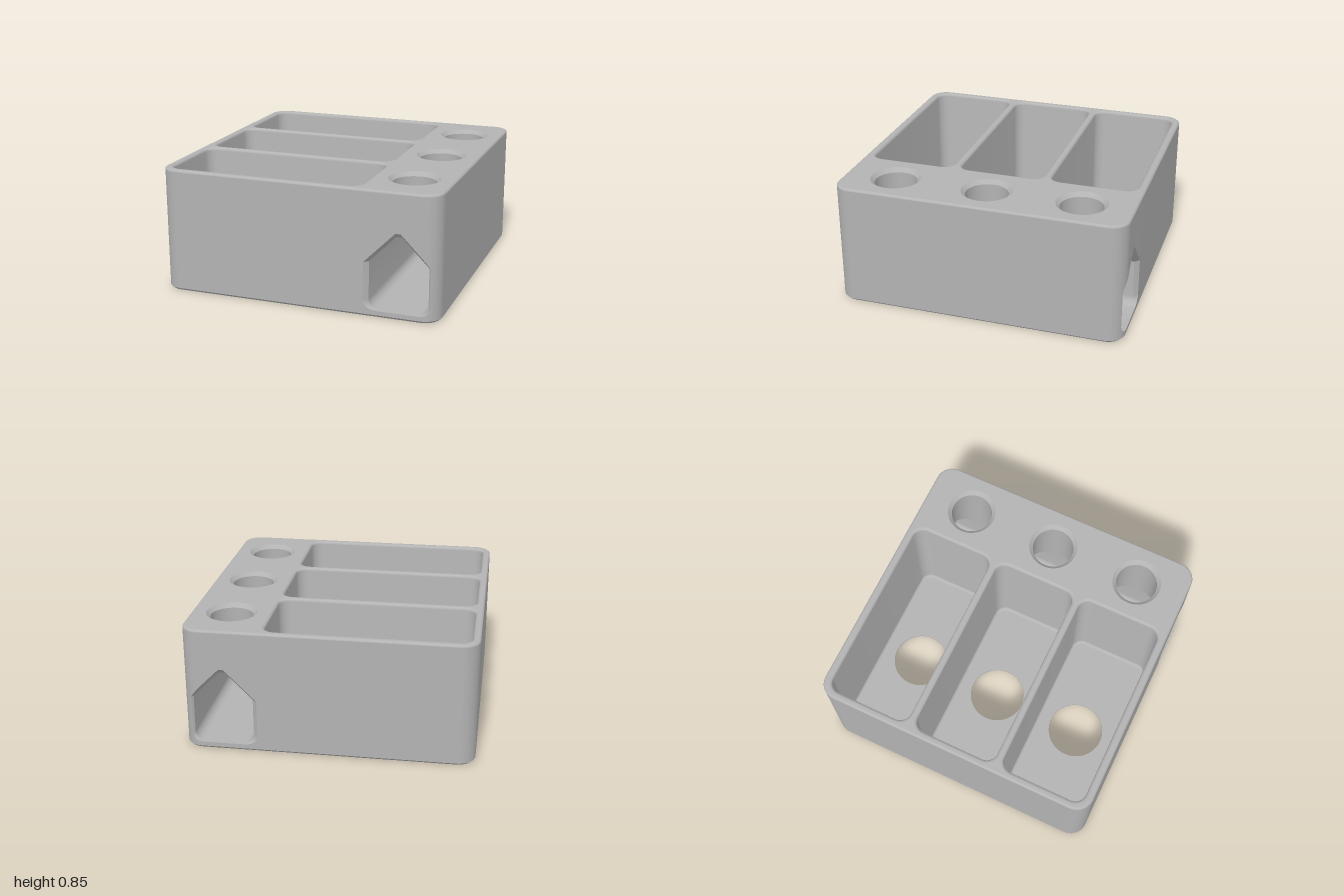
import * as THREE from 'three';
import { toCreasedNormals } from 'three/addons/utils/BufferGeometryUtils.js';

const W = 0.97, D = 1, H = 0.85, R = 0.12;        // half width, half depth, height, corner radius
const EDGE = 0.015, FLOOR = 0.045, CUT = 0.03;    // outer edge, floor thickness, tunnel chamfer
const BAYS = [-0.647, 0, 0.647];                  // z of each tray and finger hole
const TX = -0.245, BX = 0.7, BORE = 0.145;        // tray centre, bore centre and radius
const V = (x, y, z) => new THREE.Vector3(x, y, z);
const range = (n, f) => Array.from({ length: n }, (_, i) => f(i));

function geometryFrom(points) {
  return toCreasedNormals(new THREE.BufferGeometry().setFromPoints(points), 0.5);
}

// Skin between successive rings of points
function loft(rings, closed = true) {
  const out = [];
  for (let k = 0; k + 1 < rings.length; k++) {
    const p = rings[k], q = rings[k + 1], n = p.length;
    for (let i = 0; i < (closed ? n : n - 1); i++) {
      const j = (i + 1) % n;
      out.push(p[i], p[j], q[j], p[i], q[j], q[i]);
    }
  }
  return geometryFrom(out);
}

// Rounded rectangle lying flat, anticlockwise from above
function roundRect(cx, cz, hw, hd, r, y) {
  const pts = [];
  [[1, 1], [-1, 1], [-1, -1], [1, -1]].forEach(([sx, sz], c) => {
    for (let i = 0; i <= 10; i++) {
      const a = (c + i / 10) * Math.PI / 2;
      pts.push(V(cx + sx * (hw - r) + r * Math.cos(a), y, cz - sz * (hd - r) - r * Math.sin(a)));
    }
  });
  return pts;
}

const circle = (cx, cz, r, y) => range(64, i => {
  const a = i / 64 * Math.PI * 2, x = cx + r * Math.cos(a);
  return V(x, typeof y === 'function' ? y(x) : y, cz - r * Math.sin(a));
});

// Flat horizontal face with holes, facing up or down
function cap(outline, holes, y, up) {
  const flat = pts => pts.map(p => new THREE.Vector2(p.x, up ? -p.z : p.z));
  const shape = new THREE.Shape(flat(outline));
  holes.forEach(h => shape.holes.push(new THREE.Path(flat(h))));
  return new THREE.ShapeGeometry(shape).rotateX(up ? -Math.PI / 2 : Math.PI / 2).translate(0, y, 0);
}

const wallZ = x => D - R + Math.sqrt(Math.max(0, R * R - Math.max(0, Math.abs(x) - (W - R)) ** 2));
const roofY = x => 0.55 - Math.max(0, Math.abs(x - BX) - 0.018) * (0.183 / 0.182);

// House-shaped tunnel section: x, y and the direction its chamfer spreads
function tunnelSection() {
  const s = [[0.5, 0.367, -1, 0]];
  const arc = range(7, i => i / 6 * Math.PI / 2);
  arc.forEach(a => s.push([0.56 - 0.06 * Math.cos(a), 0.105 - 0.06 * Math.sin(a), -Math.cos(a), 0]));
  arc.slice().reverse().forEach(a => s.push([0.84 + 0.06 * Math.cos(a), 0.105 - 0.06 * Math.sin(a), Math.cos(a), 0]));
  for (let i = 0; i <= 8; i++) s.push([0.9 - 0.182 * i / 8, 0.367 + 0.183 * i / 8, 1 - i / 8, i / 8]);
  s.push([0.682, 0.55, 0, 1]);
  return s;
}

// Where the chamfer meets the outer wall, including its rounded corner
function mouthPoint([x, y, dx, dy]) {
  let lo = 0, hi = CUT;
  for (let i = 0; i < 24; i++) {
    const t = (lo + hi) / 2;
    if (D - wallZ(x + dx * (CUT - t)) > t) lo = t; else hi = t;
  }
  const px = x + dx * (CUT - lo);
  return V(px, y + dy * (CUT - lo), wallZ(px));
}

function heightOn(chain, x) {
  for (let i = 0; i + 1 < chain.length; i++) {
    const a = chain[i], b = chain[i + 1];
    if (x <= b.x + 1e-7 && b.x - a.x > 1e-7) return a.y + (b.y - a.y) * Math.max(0, (x - a.x) / (b.x - a.x));
  }
  return chain[chain.length - 1].y;
}

// Front or back wall in columns, open around the tunnel mouth
function endWall(mouth, side) {
  const lower = mouth.slice(1, 15);
  const upper = [...mouth.slice(15), mouth[0]].sort((a, b) => a.x - b.x);
  const xL = lower[0].x, xR = lower[13].x, out = [];
  const corner = range(15, i => W - R + R * Math.sin(i / 14 * Math.PI / 2));
  const xs = [...corner, ...corner.map(x => -x), ...mouth.map(p => p.x)].sort((a, b) => a - b);
  const quad = (x0, x1, a0, a1, b0, b1) => {
    const p = [[x0, a0], [x1, a1], [x1, b1], [x0, b0]].map(([x, y]) => V(x, y, side * wallZ(x)));
    (side > 0 ? [0, 1, 2, 0, 2, 3] : [0, 2, 1, 0, 3, 2]).forEach(i => out.push(p[i]));
  };
  const y0 = EDGE, y1 = H - EDGE;
  for (let i = 0; i + 1 < xs.length; i++) {
    const a = xs[i], b = xs[i + 1], m = (a + b) / 2;
    if (b - a < 1e-5) continue;
    if (m < xL || m > xR) quad(a, b, y0, y0, y1, y1);
    else {
      quad(a, b, y0, y0, heightOn(lower, a), heightOn(lower, b));
      quad(a, b, heightOn(upper, a), heightOn(upper, b), y1, y1);
    }
  }
  return geometryFrom(out);
}

// Sloping half of the tunnel ceiling, notched by the bores
function ceilingSlope(s) {
  const end = D - CUT, ridge = 0.018, a0 = Math.acos(ridge / BORE);
  const pts = [V(BX + s * 0.2, 0, -end), V(BX + s * ridge, 0, -end)];
  BAYS.forEach(z => range(25, i => -a0 + 2 * a0 * i / 24).forEach(a =>
    pts.push(V(BX + s * BORE * Math.cos(a), 0, z + BORE * Math.sin(a)))));
  pts.push(V(BX + s * ridge, 0, end), V(BX + s * 0.2, 0, end));
  return cap(pts, [], 0, false);
}

export function createModel() {
  const group = new THREE.Group();
  const grey = new THREE.MeshStandardMaterial({ color: 0xb3b3b3, side: THREE.DoubleSide });
  grey.name = 'light grey';
  const add = (name, geometry) => {
    const mesh = new THREE.Mesh(geometry, grey);
    mesh.name = name;
    group.add(mesh);
  };
  const body = (inset, y) => roundRect(0, 0, W - inset, D - inset, R - inset, y);
  const tray = (z, inset, y) => roundRect(TX, z, 0.692 - inset, 0.317 - inset, 0.1 - inset, y);

  // Outer shell
  const section = tunnelSection(), mouth = section.map(mouthPoint);
  add('frontWall', endWall(mouth, 1));
  add('backWall', endWall(mouth, -1));
  for (const s of [1, -1]) {
    add(s > 0 ? 'leftWall' : 'rightWall', new THREE.PlaneGeometry(2 * (D - R), H - 2 * EDGE)
      .rotateY(s * Math.PI / 2).translate(s * W, H / 2, 0));
  }
  add('bottomChamfer', loft([body(EDGE, 0), body(0, EDGE)]));
  add('topRounding', loft(range(5, i => {
    const a = i / 4 * Math.PI / 2;
    return body(EDGE * (1 - Math.cos(a)), H - EDGE * (1 - Math.sin(a)));
  })));
  add('topFace', cap(body(EDGE, H), BAYS.flatMap(z => [tray(z, 0, H), circle(BX, z, 0.172, H)]), H, true));
  add('bottomFace', cap(body(EDGE, 0), BAYS.map(z => circle(TX, z, 0.235, 0)), 0, false));

  // Trays with floor holes, and bores down to the tunnel
  for (const z of BAYS) {
    const rim = range(5, i => {
      const a = i / 4 * Math.PI / 2;
      return tray(z, 0.02 * Math.sin(a), H - 0.02 * (1 - Math.cos(a)));
    });
    const fillet = range(5, i => {
      const a = i / 4 * Math.PI / 2;
      return tray(z, 0.02 + 0.02 * (1 - Math.cos(a)), FLOOR + 0.02 * (1 - Math.sin(a)));
    });
    add('trayWall', loft([...rim, ...fillet]));
    add('trayFloor', cap(tray(z, 0.04, FLOOR), [circle(TX, z, 0.2, FLOOR)], FLOOR, true));
    add('floorHole', loft([circle(TX, z, 0.2, FLOOR), circle(TX, z, 0.2, 0.035), circle(TX, z, 0.235, 0)]));
    add('bore', loft([circle(BX, z, 0.172, H), circle(BX, z, BORE, H - 0.027), circle(BX, z, BORE, roofY)]));
  }

  // Tunnel
  const ring = z => section.map(([x, y]) => V(x, y, z));
  const end = D - CUT;
  add('frontMouth', loft([mouth, ring(end)]));
  add('backMouth', loft([ring(-end), mouth.map(p => V(p.x, p.y, -p.z))]));
  add('tunnelWalls', loft([ring(end).slice(0, 16), ring(-end).slice(0, 16)], false));
  for (const s of [1, -1]) {
    const slope = ceilingSlope(s), p = slope.attributes.position;
    for (let i = 0; i < p.count; i++) p.setY(i, roofY(p.getX(i)));
    slope.computeVertexNormals();
    add('tunnelCeiling', slope);
  }
  const gap = Math.sqrt(BORE ** 2 - 0.018 ** 2);
  const stops = [-end, ...BAYS.flatMap(z => [z - gap, z + gap]), end];
  for (let i = 0; i < stops.length; i += 2) {
    const a = stops[i], b = stops[i + 1];
    add('tunnelRidge', new THREE.PlaneGeometry(0.036, b - a).rotateX(Math.PI / 2).translate(BX, 0.55, (a + b) / 2));
  }
  return group;
}
